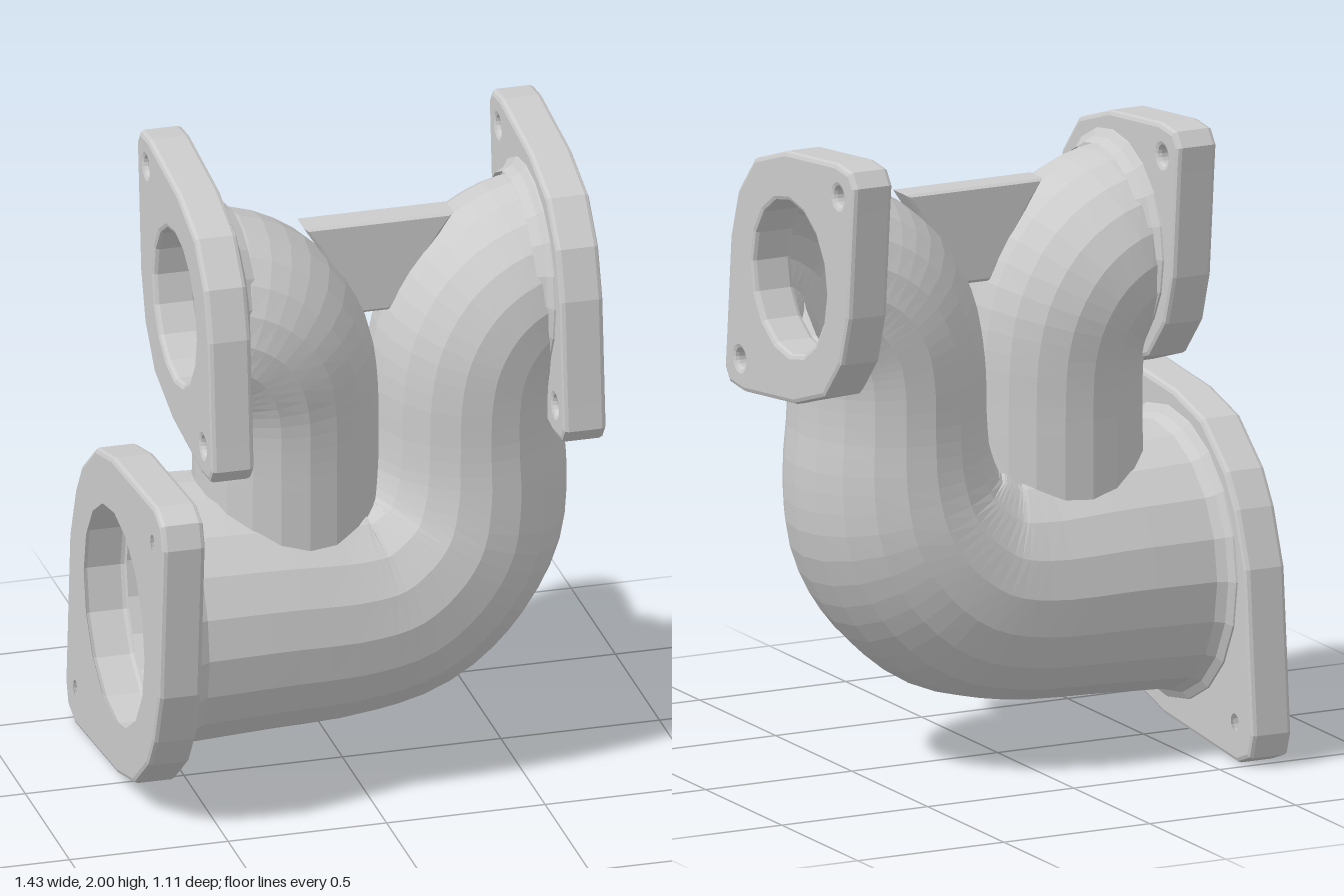
import * as THREE from 'three';

const SIDES = 20, WALL = 0.05;
const metal = new THREE.MeshStandardMaterial({ color: 0xcccccc, flatShading: true, side: THREE.DoubleSide });

// Skin of a pipe lying in the xy plane; stations are [x, y, radius]
function pipeSkin(stations, steps, inset, { saddle = 0, skip = () => false } = {}) {
  const path = new THREE.CatmullRomCurve3(stations.map(s => new THREE.Vector3(...s)));
  const rings = path.getPoints(steps);
  const pos = [], index = [];
  rings.forEach((c, i) => {
    const a = rings[Math.max(i - 1, 0)], b = rings[Math.min(i + 1, steps)];
    const len = Math.hypot(b.x - a.x, b.y - a.y);
    const nx = -(b.y - a.y) / len, ny = (b.x - a.x) / len;
    const t = i / steps, r = c.z - inset;
    const rz = r * (1 + 0.09 * Math.sin(Math.PI * t * t)); // slightly deeper upright part
    for (let j = 0; j < SIDES; j++) {
      const w = (j / SIDES) * Math.PI * 2, u = r * Math.cos(w), z = rz * Math.sin(w);
      // the first ring of a branch follows the curve of the main pipe
      const y = i === 0 && saddle ? 0.57 + Math.sqrt(saddle * saddle - z * z) : c.y + ny * u;
      pos.push(c.x + nx * u, y, z);
    }
  });
  for (let i = 0; i < steps; i++) {
    for (let j = 0; j < SIDES; j++) {
      const k = (j + 1) % SIDES;
      const a = i * SIDES + j, d = i * SIDES + k, b = a + SIDES, c = d + SIDES;
      const mid = [0, 1, 2].map(m => (pos[a * 3 + m] + pos[b * 3 + m] + pos[c * 3 + m] + pos[d * 3 + m]) / 4);
      if (skip(...mid)) continue;
      if (inset) index.push(a, b, d, d, b, c);
      else index.push(a, d, b, d, c, b);
    }
  }
  const g = new THREE.BufferGeometry();
  g.setAttribute('position', new THREE.Float32BufferAttribute(pos, 3));
  g.setIndex(index);
  g.computeVertexNormals();
  return g;
}

function addPipe(group, name, stations, steps, options) {
  const pipe = new THREE.Group();
  pipe.name = name;
  [['outerWall', 0], ['bore', WALL]].forEach(([part, inset]) => {
    const mesh = new THREE.Mesh(pipeSkin(stations, steps, inset, options), metal);
    mesh.name = part;
    pipe.add(mesh);
  });
  group.add(pipe);
}

// Two-bolt flange; half is half of its (z, y) outline, repeated by a half turn
function addFlange(group, name, x0, x1, y, half, bore, bolt, boltRadius) {
  const bevel = 0.015;
  const outline = [...half, ...half.map(([z, h]) => [-z, -h])];
  const shape = new THREE.Shape(outline.map(p => new THREE.Vector2(...p)));
  [[0, 0, bore], [bolt[0], bolt[1], boltRadius], [-bolt[0], -bolt[1], boltRadius]].forEach(([z, h, r]) => {
    shape.holes.push(new THREE.Path().absarc(z, h, r - bevel * 0.7, 0, Math.PI * 2, true));
  });
  const g = new THREE.ExtrudeGeometry(shape, {
    depth: x1 - x0 - 2 * bevel, curveSegments: 8, bevelEnabled: true,
    bevelThickness: bevel, bevelSize: bevel, bevelOffset: -bevel, bevelSegments: 2,
  });
  g.rotateY(-Math.PI / 2).translate(x1 - bevel, y, 0);
  const mesh = new THREE.Mesh(g, metal);
  mesh.name = name;
  group.add(mesh);
}

// Flared fillet where a pipe meets its flange; dir points away from the flange
function addFillet(group, name, x, y, r, dir) {
  const profile = [[0.04, -0.01], [0.035, 0.005], [0.012, 0.02], [-0.003, 0.05]]
    .map(([dr, h]) => new THREE.Vector2(r + dr, h));
  const g = new THREE.LatheGeometry(profile, SIDES).rotateZ(-dir * Math.PI / 2).translate(x, y, 0);
  const mesh = new THREE.Mesh(g, metal);
  mesh.name = name;
  group.add(mesh);
}

export function createModel() {
  const group = new THREE.Group();
  group.name = 'pipeManifold';

  // Main pipe: wide inlet, sweeping up and out to the side
  const main = [
    [-0.62, 0.57, 0.42], [-0.3, 0.57, 0.405], [0, 0.568, 0.387], [0.15, 0.6, 0.375],
    [0.27, 0.69, 0.36], [0.345, 0.8, 0.342], [0.377, 0.95, 0.318], [0.38, 1.1, 0.302],
    [0.384, 1.27, 0.3], [0.41, 1.39, 0.302], [0.475, 1.495, 0.302], [0.56, 1.555, 0.3], [0.645, 1.575, 0.3],
  ];
  const port = (x, y, z) => y > 0.6 && y < 1.05 && Math.hypot(x + 0.18, z) < 0.22;
  addPipe(group, 'mainPipe', main, 40, { skip: port });

  // Branch pipe: rises from the main pipe and turns the other way
  const branch = [
    [-0.18, 1.0, 0.285], [-0.18, 1.13, 0.283], [-0.184, 1.27, 0.285], [-0.21, 1.39, 0.295],
    [-0.275, 1.495, 0.3], [-0.365, 1.555, 0.3], [-0.46, 1.575, 0.3],
  ];
  addPipe(group, 'branchPipe', branch, 18, { saddle: 0.375 });

  // Flanges
  const large = [[0.45, 0.56], [0.53, 0.53], [0.555, 0.455], [0.51, -0.055], [0.445, -0.23],
    [0.377, -0.335], [0.217, -0.465], [0.03, -0.515], [-0.41, -0.563]];
  const small = [[-0.3, 0.425], [-0.395, 0.415], [-0.428, 0.37], [-0.42, 0.29], [-0.39, -0.045],
    [-0.34, -0.2], [-0.23, -0.325], [-0.03, -0.39]];
  addFlange(group, 'inletFlange', -0.72, -0.585, 0.565, large.slice(0, 8), 0.37, [0.437, 0.435], 0.052);
  addFlange(group, 'mainOutletFlange', 0.58, 0.715, 1.575, small, 0.25, [-0.323, 0.325], 0.041);
  addFlange(group, 'branchOutletFlange', -0.53, -0.395, 1.575, small, 0.25, [-0.323, 0.325], 0.041);

  // Fillets
  addFillet(group, 'inletFillet', -0.585, 0.57, 0.42, 1);
  addFillet(group, 'mainOutletFillet', 0.58, 1.575, 0.3, -1);
  addFillet(group, 'branchOutletFillet', -0.395, 1.575, 0.3, 1);

  // Stiffening web between the two upper bends
  const webShape = new THREE.Shape([[-0.13, 1.8], [0.34, 1.8], [0.3, 1.74], [0.14, 1.5], [0.05, 1.5], [-0.08, 1.72]]
    .map(p => new THREE.Vector2(...p)));
  const web = new THREE.Mesh(new THREE.ExtrudeGeometry(webShape, {
    depth: 0.08, bevelEnabled: true, bevelThickness: 0.01, bevelSize: 0.01, bevelOffset: -0.01, bevelSegments: 1,
  }).translate(0, 0, -0.045), metal);
  web.name = 'stiffeningWeb';
  group.add(web);

  return group;
}
